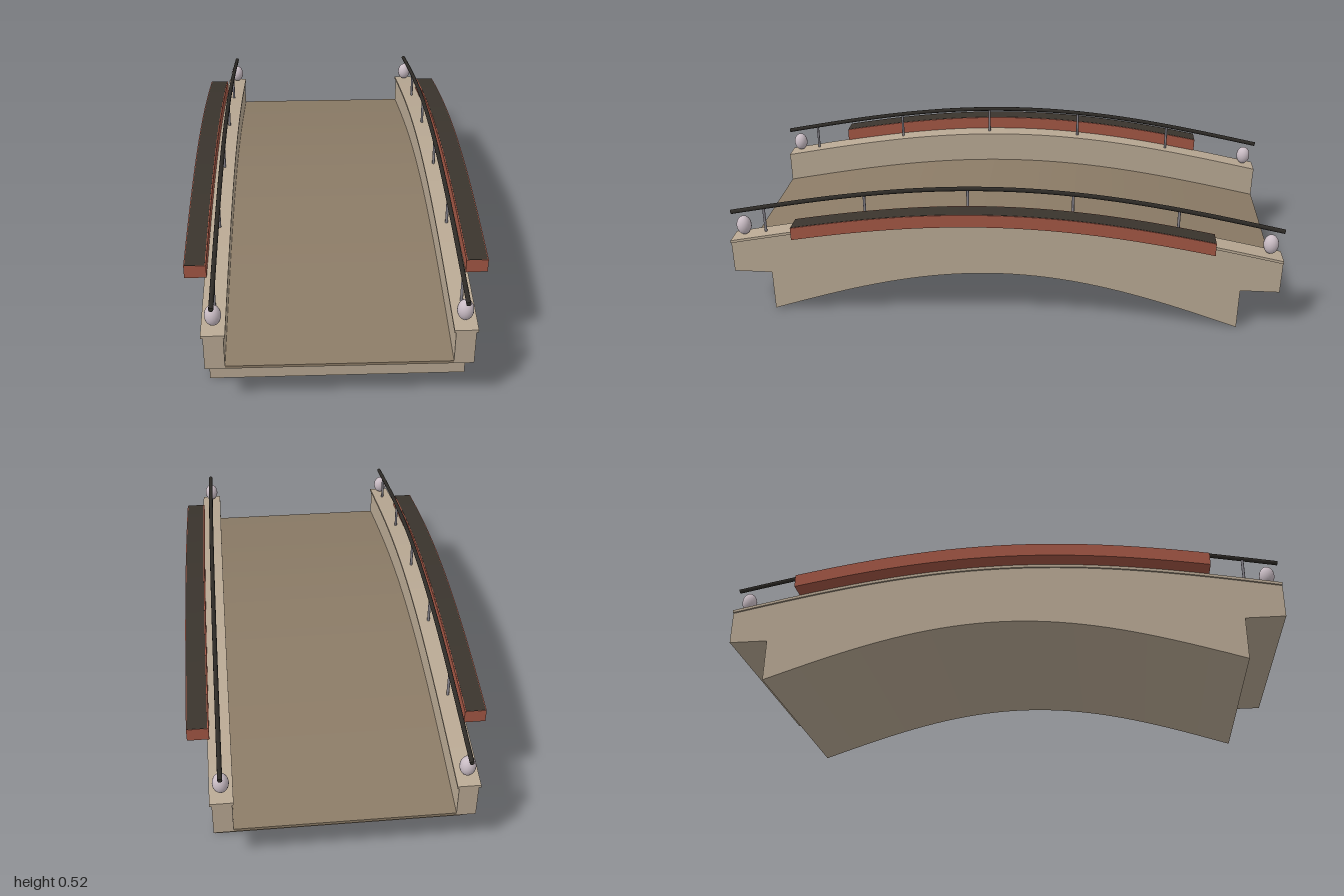
import * as THREE from 'three';

const mat = (name, color) => {
  const m = new THREE.MeshStandardMaterial({ color });
  m.name = name;
  return m;
};

// Shared camber of the bridge: height `base` at the ends, highest at mid-span
const RISE = 0.128;
const camber = (base, z) => base + RISE * Math.cos((z * Math.PI) / 2);

// Points along z from a to b on a height rule
function sample(a, b, rule, n = 40) {
  const pts = [];
  for (let i = 0; i <= n; i++) {
    const z = a + ((b - a) * i) / n;
    pts.push(new THREE.Vector2(z, rule(z)));
  }
  return pts;
}

// Extrude a (z, y) outline across the width x0..x1
function acrossWidth(points, x0, x1) {
  const geo = new THREE.ExtrudeGeometry(new THREE.Shape(points), { depth: x1 - x0, bevelEnabled: false });
  geo.rotateY(Math.PI / 2);
  geo.translate(x0, 0, 0);
  return geo;
}

// Curved slab between two cambered heights
const slab = (low, high, half, x0, x1) => acrossWidth([
  ...sample(-half, half, (z) => camber(low, z)),
  ...sample(half, -half, (z) => camber(high, z)),
], x0, x1);

// Masonry outline: arched soffit, stepped bearings, cambered top
const masonry = (top, x0, x1) => acrossWidth([
  new THREE.Vector2(-1, 0.155),
  new THREE.Vector2(-0.86, 0.155),
  ...sample(-0.86, 0.86, (z) => 0.187 * Math.cos((z / 0.86) * Math.PI / 2)),
  new THREE.Vector2(0.86, 0.155),
  new THREE.Vector2(1, 0.155),
  ...sample(1, -1, (z) => camber(top, z)),
], x0, x1);

export function createModel() {
  const stone = mat('stone', 0xb8a893);
  const paving = mat('paving', 0x8b7b66);
  const brick = mat('brick red', 0xa25644);
  const soil = mat('dark soil', 0x3a342d);
  const iron = mat('dark iron', 0x2d2a26);
  const steel = mat('grey steel', 0x85828a);
  const glass = mat('lamp glass', 0xc9bcc4);

  const bridge = new THREE.Group();
  bridge.name = 'footbridge';
  const add = (parent, name, geo, material) => {
    const mesh = new THREE.Mesh(geo, material);
    mesh.name = name;
    parent.add(mesh);
    return mesh;
  };

  // Arch body and walking surface
  add(bridge, 'archBody', masonry(0.157, -0.365, 0.365), stone);
  add(bridge, 'deck', slab(0.157, 0.165, 1, -0.365, 0.365), paving);

  for (const [side, s] of [['left', 1], ['right', -1]]) {
    const group = new THREE.Group();
    group.name = side + 'Side';
    bridge.add(group);
    const span = (a, b) => (s > 0 ? [a, b] : [-b, -a]);

    // Parapet wall with a slightly wider coping
    add(group, 'parapet', masonry(0.275, ...span(0.365, 0.43)), stone);
    add(group, 'coping', slab(0.275, 0.285, 1, ...span(0.36, 0.437)), stone);

    // Planter box hung on the outside
    add(group, 'planter', slab(0.285, 0.332, 0.75, ...span(0.43, 0.504)), brick);
    add(group, 'planterSoil', slab(0.329, 0.333, 0.749, ...span(0.434, 0.501)), soil);

    // Handrail
    const x = s * 0.398;
    const path = new THREE.CatmullRomCurve3(
      sample(-0.998, 0.998, (z) => camber(0.384, z), 16).map((p) => new THREE.Vector3(x, p.y, p.x)));
    add(group, 'handrail', new THREE.TubeGeometry(path, 48, 0.008, 10), iron);
    for (const end of [-1, 1]) {
      const cap = add(group, 'handrailEnd', new THREE.CircleGeometry(0.008, 10), iron);
      cap.position.set(x, camber(0.384, 0.998), end * 0.998);
      if (end < 0) cap.rotation.y = Math.PI;
    }

    // Rail posts
    for (let i = 0; i < 5; i++) {
      const z = 0.875 - 0.375 * i;
      const post = add(group, 'railPost', new THREE.CylinderGeometry(0.005, 0.005, 0.1, 8), steel);
      post.position.set(x, camber(0.334, z), z);
    }

    // Egg-shaped lamps on the coping ends
    for (const z of [-0.955, 0.955]) {
      const lamp = add(group, 'lamp', new THREE.SphereGeometry(1, 20, 14), glass);
      lamp.scale.set(0.027, 0.036, 0.027);
      lamp.position.set(x, 0.333, z);
    }
  }
  return bridge;
}
